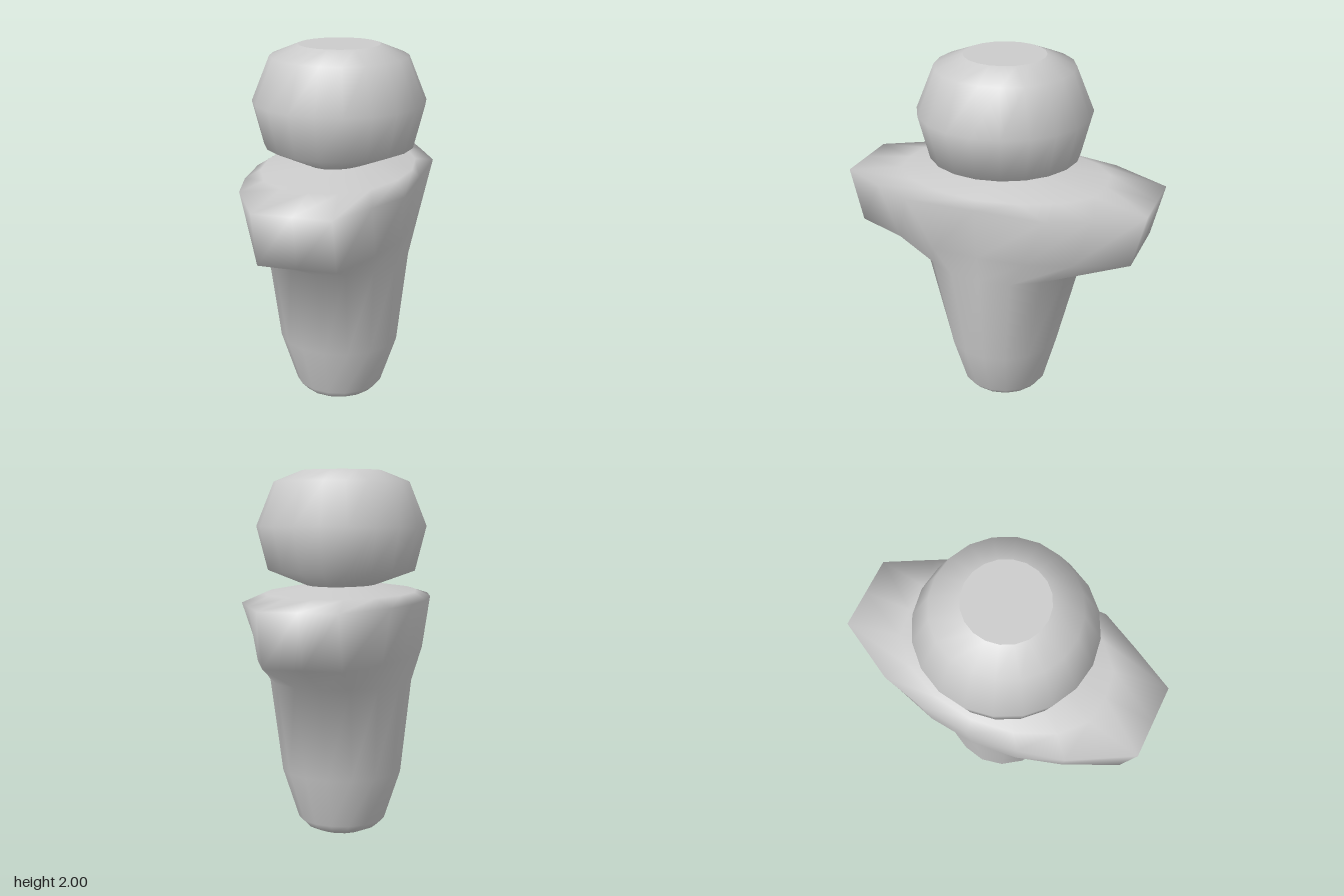
import * as THREE from 'three';

const material = new THREE.MeshStandardMaterial({ color: 0xcccccc });

// Elliptical ring, running from +z towards +x
function oval(y, rx, rz, sides) {
  return Array.from({ length: sides }, (_, i) => {
    const a = (i / sides) * Math.PI * 2;
    return [rx * Math.sin(a), y, rz * Math.cos(a)];
  });
}

// Ring mirrored from quarter outlines, each going from the z axis to the x axis
function mirrored(y, leftQuarter, rightQuarter = leftQuarter) {
  const ring = [];
  leftQuarter.slice(0, -1).forEach(([x, z]) => ring.push([x, y, z]));
  leftQuarter.slice(1).reverse().forEach(([x, z]) => ring.push([x, y, -z]));
  rightQuarter.slice(0, -1).forEach(([x, z]) => ring.push([-x, y, -z]));
  rightQuarter.slice(1).reverse().forEach(([x, z]) => ring.push([-x, y, z]));
  return ring;
}

// Smooth skin through rings listed from bottom to top
function loft(rings) {
  const n = rings[0].length;
  const index = [];
  for (let i = 0; i < rings.length - 1; i++) {
    for (let j = 0; j < n; j++) {
      const a = i * n + j, b = i * n + (j + 1) % n;
      index.push(a, b, b + n, a, b + n, a + n);
    }
  }
  const geometry = new THREE.BufferGeometry();
  geometry.setAttribute('position', new THREE.Float32BufferAttribute(rings.flat(2), 3));
  geometry.setIndex(index);
  geometry.computeVertexNormals();
  return geometry;
}

function addPart(group, name, geometry) {
  const mesh = new THREE.Mesh(geometry, material);
  mesh.name = name;
  group.add(mesh);
  return mesh;
}

export function createModel() {
  const group = new THREE.Group();
  group.name = 'peg figure';

  // Tapered body, swelling into stubby arms to front and back
  const S = 16;
  addPart(group, 'bodyAndArms', loft([
    oval(0.003, 0.001, 0.001, S),
    oval(0.03, 0.13, 0.13, S),
    oval(0.06, 0.2, 0.2, S),
    oval(0.1, 0.24, 0.235, S),
    oval(0.37, 0.33, 0.31, S),
    oval(0.88, 0.387, 0.437, S),
    mirrored(1.03,
      [[0, 0.76], [0.2, 0.76], [0.32, 0.48], [0.39, 0.25], [0.405, 0]],
      [[0, 0.76], [0.2, 0.76], [0.33, 0.48], [0.4, 0.25], [0.425, 0]]),
    mirrored(1.315,
      [[0, 0.83], [0.2, 0.83], [0.33, 0.59], [0.44, 0.375], [0.44, 0]],
      [[0, 0.83], [0.2, 0.83], [0.38, 0.51], [0.44, 0.27], [0.465, 0]]),
    mirrored(1.355, [[0, 0.56], [0.15, 0.54], [0.28, 0.42], [0.37, 0.22], [0.4, 0]]),
    oval(1.393, 0.18, 0.26, S),
  ]));

  // Round head narrowing into the neck
  const H = 20;
  addPart(group, 'head', loft([
    oval(1.39, 0.18, 0.25, H),
    oval(1.47, 0.4, 0.4, H),
    oval(1.705, 0.46, 0.46, H),
    oval(1.94, 0.365, 0.365, H),
    oval(2, 0.215, 0.215, H),
  ]));

  // Flat crown
  const crown = addPart(group, 'crown', new THREE.CircleGeometry(0.215, H));
  crown.rotation.x = -Math.PI / 2;
  crown.position.y = 2;

  return group;
}
